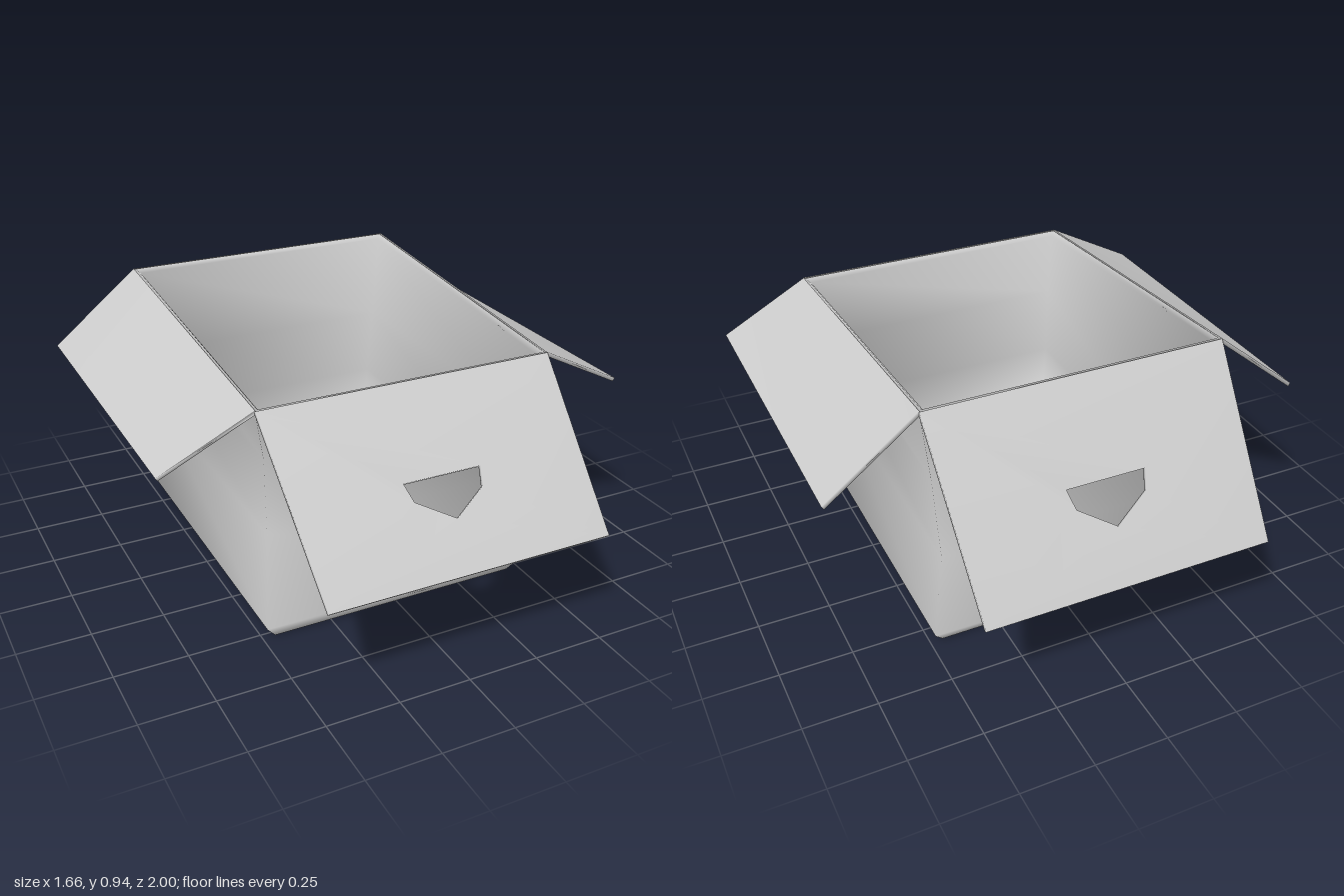
import * as THREE from 'three';
import { mergeVertices } from 'three/addons/utils/BufferGeometryUtils.js';

const material = new THREE.MeshStandardMaterial({ color: 0xcccccc, side: THREE.DoubleSide });

// Box shell: four-cornered rings from the underside, over the rim, down to the inner floor
function boxShell() {
  // [yFront, yBack, halfWidth, zFront, zBack]
  const rings = [
    [0, 0, 0.455, 0.52, -0.565],
    [0.045, 0.045, 0.49, 0.54, -0.59],
    [0.37, 0.37, 0.46, 0.485, -0.59],
    [0.64, 0.64, 0.465, 0.485, -0.535],
    [0.845, 0.935, 0.52, 0.562, -0.6],
    [0.85, 0.94, 0.51, 0.556, -0.594],
    [0.835, 0.925, 0.497, 0.542, -0.582],
    [0.63, 0.63, 0.45, 0.475, -0.53],
    [0.37, 0.37, 0.445, 0.47, -0.56],
    [0.03, 0.03, 0.43, 0.475, -0.53],
  ];
  const positions = [], index = [];
  for (const [yf, yb, x, zf, zb] of rings) {
    positions.push(x, yf, zf, x, yb, zb, -x, yb, zb, -x, yf, zf);
  }
  for (let r = 0; r < rings.length - 1; r++) {
    for (let k = 0; k < 4; k++) {
      const a = r * 4 + k, b = r * 4 + (k + 1) % 4;
      index.push(a, b, a + 4, b, b + 4, a + 4);
    }
  }
  // Underside and inner floor
  const f = (rings.length - 1) * 4;
  index.push(0, 2, 1, 0, 3, 2, f, f + 1, f + 2, f, f + 2, f + 3);
  const g = new THREE.BufferGeometry();
  g.setAttribute('position', new THREE.Float32BufferAttribute(positions, 3));
  g.setIndex(index);
  g.computeVertexNormals();
  return g;
}

// Thin panel stretched between hinge corners a, b and outer corners c (by a), d (by b)
function panel(a, b, c, d, hole) {
  const [A, B, C, D] = [a, b, c, d].map(p => new THREE.Vector3(...p));
  const shape = new THREE.Shape([[0, 0], [1, 0], [1, 1], [0, 1]].map(p => new THREE.Vector2(...p)));
  if (hole) shape.holes.push(new THREE.Path(hole.map(p => new THREE.Vector2(...p))));
  let g = new THREE.ExtrudeGeometry(shape, { depth: 1, bevelEnabled: false });
  g.deleteAttribute('normal');
  g.deleteAttribute('uv');
  g.clearGroups();
  const n = B.clone().sub(A).cross(C.clone().add(D).sub(A).sub(B)).normalize();
  const pos = g.attributes.position;
  for (let i = 0; i < pos.count; i++) {
    const s = pos.getX(i), v = pos.getY(i), w = pos.getZ(i);
    const p = A.clone().lerp(B, s).lerp(C.clone().lerp(D, s), v);
    p.addScaledVector(n, (w - 0.5) * 0.014);
    pos.setXYZ(i, p.x, p.y, p.z);
  }
  g = mergeVertices(g, 1e-4);
  g.computeVertexNormals();
  return g;
}

export function createModel() {
  const group = new THREE.Group();
  const add = (name, geometry) => {
    const mesh = new THREE.Mesh(geometry, material);
    mesh.name = name;
    group.add(mesh);
  };

  add('boxBody', boxShell());

  // Hand hole: flat edge towards the hinge, pointed towards the outer edge
  const handHole = [[0.365, 0.5], [0.38, 0.6], [0.5, 0.725], [0.62, 0.6], [0.635, 0.5]];

  add('frontFlap', panel(
    [-0.52, 0.845, 0.56], [0.52, 0.845, 0.56],
    [-0.49, 0.39, 0.995], [0.49, 0.39, 0.995], handHole));
  add('backFlap', panel(
    [0.52, 0.935, -0.597], [-0.52, 0.935, -0.597],
    [0.49, 0.408, -0.995], [-0.49, 0.408, -0.995], handHole));

  // Mirrored side flaps
  for (const [name, m] of [['leftFlap', 1], ['rightFlap', -1]]) {
    add(name, panel(
      [m * 0.515, 0.845, 0.56], [m * 0.515, 0.935, -0.6],
      [m * 0.828, 0.685, 0.545], [m * 0.828, 0.685, -0.595]));
  }
  return group;
}
